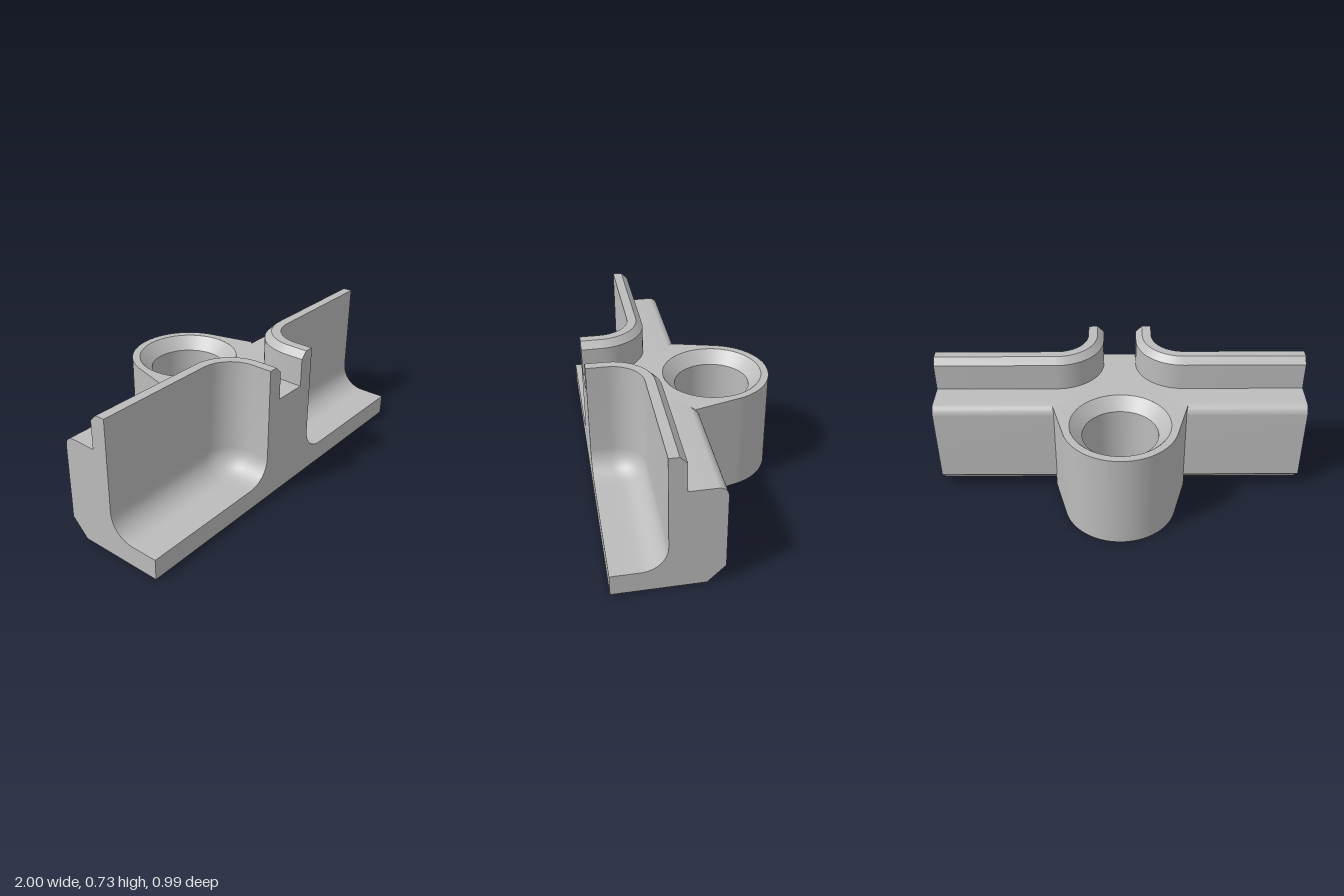
import * as THREE from 'three';
import { toCreasedNormals } from 'three/addons/utils/BufferGeometryUtils.js';

const FRONT = 0.495, PLATEAU = 0.545, CX = 0.345, CZ = 0.39, OUTER = 0.255;

// Extrude a plan shape (x, -z) upwards from y0 to y1
function extrudeUp(shape, y0, y1) {
  const g = new THREE.ExtrudeGeometry(shape, { depth: y1 - y0, bevelEnabled: false, curveSegments: 48 });
  return toCreasedNormals(g.rotateX(-Math.PI / 2).translate(0, y0, 0), 0.5);
}

// Pocket wall section (distance from corner centre, height) swept around the corner
function pocketWall(side) {
  const section = [[0, 0], [OUTER, 0], [OUTER, PLATEAU], [OUTER, 0.695], [0.22, 0.73], [0.17, 0.73]];
  for (let i = 0; i <= 10; i++) {
    const a = (i / 10) * Math.PI / 2;
    section.push([0.04 + 0.13 * Math.cos(a), 0.24 - 0.13 * Math.sin(a)]);
  }
  section.push([0, 0.11]);

  const path = [[1, CZ, 0]];
  for (let i = 0; i <= 16; i++) path.push([CX, CZ, (i / 16) * Math.PI / 2]);
  path.push([CX, FRONT, Math.PI / 2]);

  const pos = [], idx = [], n = section.length;
  for (const [x, z, a] of path)
    for (const [r, y] of section) pos.push(side * (x - r * Math.sin(a)), y, z - r * Math.cos(a));
  const tri = (a, b, c) => (side > 0 ? idx.push(a, b, c) : idx.push(a, c, b));
  for (let i = 0; i < path.length - 1; i++)
    for (let j = 0; j < n; j++) {
      const a = i * n + j, b = i * n + (j + 1) % n;
      tri(a, a + n, b);
      tri(b, a + n, b + n);
    }
  const last = (path.length - 1) * n;
  const caps = THREE.ShapeUtils.triangulateShape(section.map(p => new THREE.Vector2(...p)), []);
  for (const [a, b, c] of caps) {
    tri(a, b, c);
    tri(last + a, last + c, last + b);
  }
  const g = new THREE.BufferGeometry();
  g.setAttribute('position', new THREE.Float32BufferAttribute(pos, 3));
  g.setIndex(idx);
  return toCreasedNormals(g, 0.5);
}

// Lug outline: round end, tapering sides and a straight front edge
function lugShape() {
  const s = new THREE.Shape();
  s.moveTo(-0.27, -0.135);
  s.lineTo(0.27, -0.135);
  s.lineTo(0.27, -0.04);
  s.lineTo(0.36, 0.03);
  s.absarc(0, 0.19, 0.305, Math.PI / 12, Math.PI * 11 / 12, false);
  s.lineTo(-0.36, 0.03);
  s.lineTo(-0.27, -0.04);
  s.closePath();
  return s;
}

export function createModel() {
  const group = new THREE.Group();
  const grey = new THREE.MeshStandardMaterial({ color: 0xbcbcbc });
  grey.name = 'grey';
  const add = (name, geometry) => {
    const m = new THREE.Mesh(geometry, grey);
    m.name = name;
    group.add(m);
    return m;
  };

  // Back bar profile (-z, y) with rounded top edge and chamfered bottom edge
  const bar = new THREE.Shape();
  bar.moveTo(-0.135, 0);
  bar.lineTo(-0.04, 0);
  bar.lineTo(0.05, 0.09);
  bar.lineTo(0.05, 0.495);
  bar.absarc(0, 0.495, 0.05, 0, Math.PI / 2, false);
  bar.lineTo(-0.135, PLATEAU);
  bar.closePath();

  for (const side of [1, -1]) {
    const label = side > 0 ? 'left' : 'right';
    const g = new THREE.ExtrudeGeometry(bar, { depth: 0.73, bevelEnabled: false, curveSegments: 10 });
    g.rotateY(Math.PI / 2).translate(side > 0 ? 0.27 : -1, 0, 0);
    add(label + 'BackBar', toCreasedNormals(g, 0.5));
    add(label + 'PocketWall', pocketWall(side));
    const floor = new THREE.BoxGeometry(1 - CX, 0.11, FRONT - CZ);
    add(label + 'PocketFloor', floor).position.set(side * (1 + CX) / 2, 0.055, (FRONT + CZ) / 2);
  }

  // Centre web flaring out behind the two pocket corners
  const web = new THREE.Shape();
  web.moveTo(-0.09, -FRONT);
  web.lineTo(0.09, -FRONT);
  web.lineTo(0.09, -CZ);
  web.absarc(CX, -CZ, OUTER, Math.PI, Math.PI / 2, true);
  web.lineTo(-CX, -0.135);
  web.absarc(-CX, -CZ, OUTER, Math.PI / 2, 0, true);
  web.closePath();
  add('centreWeb', extrudeUp(web, 0, PLATEAU));

  // Lug with a blind countersunk hole
  add('lugBase', extrudeUp(lugShape(), 0, 0.11));
  const upper = lugShape();
  const hole = new THREE.Path();
  hole.absarc(0, 0.19, 0.265, 0, Math.PI * 2, true);
  upper.holes.push(hole);
  add('lugBody', extrudeUp(upper, 0.11, PLATEAU));
  const liner = [[0.265, PLATEAU], [0.2, 0.48], [0.2, 0.11], [0, 0.11]].map(p => new THREE.Vector2(...p));
  add('lugHole', toCreasedNormals(new THREE.LatheGeometry(liner, 64), 0.5)).position.z = -0.19;

  return group;
}
